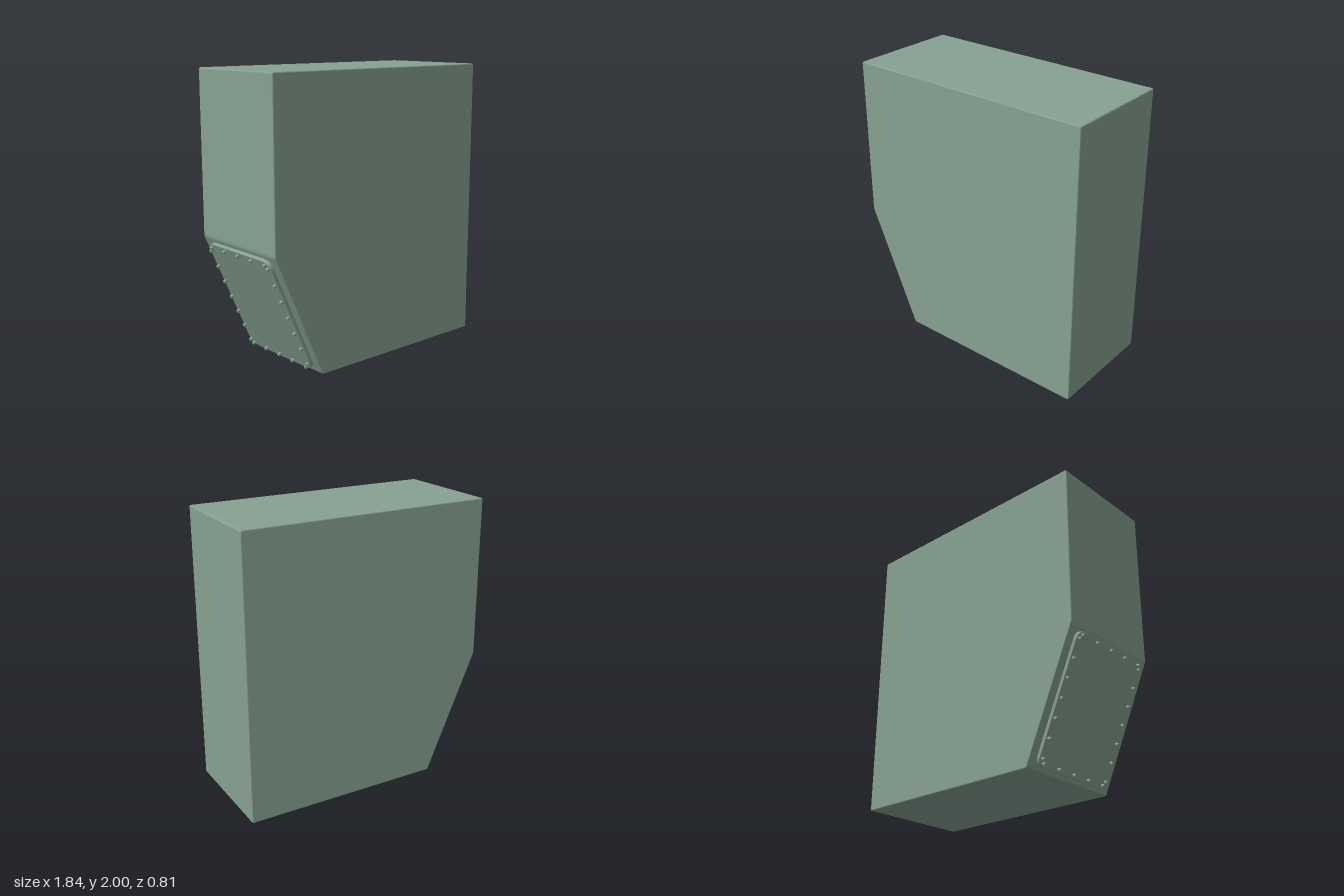
import * as THREE from 'three';

// Closed outline with softened corners of radius r
function roundedShape(points, r) {
  const pts = points.map(([x, y]) => new THREE.Vector2(x, y));
  const shape = new THREE.Shape();
  pts.forEach((p, i) => {
    const prev = pts[(i + pts.length - 1) % pts.length];
    const next = pts[(i + 1) % pts.length];
    const a = p.clone().add(prev.clone().sub(p).setLength(r));
    const b = p.clone().add(next.clone().sub(p).setLength(r));
    if (i === 0) shape.moveTo(a.x, a.y);
    else shape.lineTo(a.x, a.y);
    shape.quadraticCurveTo(p.x, p.y, b.x, b.y);
  });
  shape.closePath();
  return shape;
}

// Solid slab with bevelled rims, spanning z = 0 to depth
function slab(shape, depth, bevel, curveSegments) {
  const geo = new THREE.ExtrudeGeometry(shape, {
    depth: depth - 2 * bevel, curveSegments, bevelSegments: 2,
    bevelSize: bevel, bevelThickness: bevel, bevelOffset: -bevel,
  });
  return geo.translate(0, 0, bevel);
}

export function createModel() {
  const model = new THREE.Group();
  model.name = 'tank';
  const paint = new THREE.MeshStandardMaterial({ color: 0x86a191 });
  paint.name = 'sage green paint';

  const add = (parent, geo, name) => {
    const mesh = new THREE.Mesh(geo, paint);
    mesh.name = name;
    parent.add(mesh);
    return mesh;
  };

  // Tank body: tall box with one lower corner cut away
  const low = new THREE.Vector3(-0.52, 0, 0);
  const high = new THREE.Vector3(-0.897, 0.86, 0);
  const outline = [[low.x, low.y], [0.914, 0], [0.914, 2], [high.x, 2], [high.x, high.y]];
  const body = slab(roundedShape(outline, 0.012), 0.81, 0.007, 3);
  add(model, body.translate(0, 0, -0.405), 'tankBody');

  // Access cover frame: local x across, y up the slope, z outward
  const up = high.clone().sub(low).normalize();
  const across = new THREE.Vector3(0, 0, 1);
  const out = across.clone().cross(up);
  const cover = new THREE.Group();
  cover.name = 'accessCover';
  cover.quaternion.setFromRotationMatrix(new THREE.Matrix4().makeBasis(across, up, out));
  cover.position.copy(low).add(high).multiplyScalar(0.5);
  model.add(cover);

  // Cover plate with rounded corners
  const w = 0.342, h = 0.44;
  const plateShape = roundedShape([[-w, -h], [w, -h], [w, h], [-w, h]], 0.07);
  add(cover, slab(plateShape, 0.029, 0.004, 6).translate(0, 0, -0.005), 'coverPlate');

  // Bolts around the rim
  const boltGeo = new THREE.CylinderGeometry(0.012, 0.012, 0.03, 12).rotateX(Math.PI / 2);
  const bolt = (x, y) => add(cover, boltGeo, 'bolt').position.set(x, y, 0.031);
  for (const side of [-1, 1]) {
    for (let i = 0; i < 5; i++) bolt(-0.298 + i * 0.149, side * 0.414);
    for (let i = 0; i < 7; i++) bolt(side * 0.318, -0.387 + i * 0.129);
  }
  return model;
}
